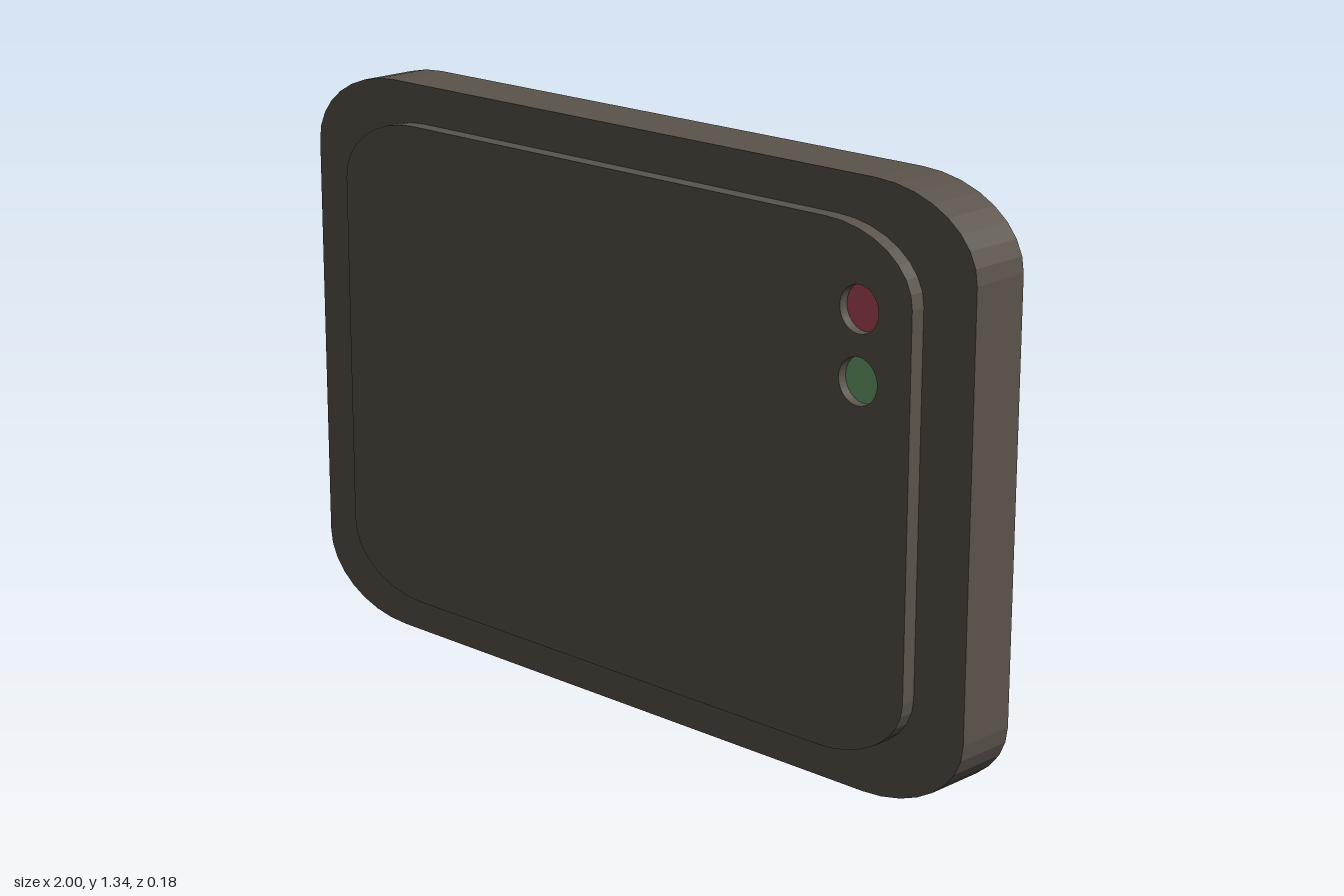
import * as THREE from 'three';

const CASE = new THREE.MeshStandardMaterial({ color: 0x5a534b, flatShading: true });
const RED = new THREE.MeshStandardMaterial({ color: 0xb04858 });
const GREEN = new THREE.MeshStandardMaterial({ color: 0x689f6a });
const CENTRE_Y = 0.67;
const BUTTON_R = 0.052;

// Rectangle with elliptical corners, centred on the origin.
function plateShape(w, h, rx, ry, steps = 8) {
  const points = [];
  const corners = [[1, 1], [-1, 1], [-1, -1], [1, -1]];
  corners.forEach(([sx, sy], c) => {
    for (let i = 0; i <= steps; i++) {
      const a = (c + i / steps) * Math.PI / 2;
      points.push(new THREE.Vector2(
        sx * (w / 2 - rx) + rx * Math.cos(a),
        sy * (h / 2 - ry) + ry * Math.sin(a)));
    }
  });
  return new THREE.Shape(points);
}

function addPlate(group, name, shape, back, front) {
  const geometry = new THREE.ExtrudeGeometry(shape, { depth: front - back, bevelEnabled: false, curveSegments: 24 });
  const mesh = new THREE.Mesh(geometry, CASE);
  mesh.name = name;
  mesh.position.set(0, CENTRE_Y, back);
  group.add(mesh);
}

export function createModel() {
  const group = new THREE.Group();
  group.name = 'controlPanel';

  const buttons = [
    { name: 'redButton', x: 0.725, y: 1.07, material: RED },
    { name: 'greenButton', x: 0.725, y: 0.917, material: GREEN },
  ];

  // Main slab
  addPlate(group, 'backPlate', plateShape(2, 1.34, 0.27, 0.18), -0.092, 0.056);

  // Raised front panel with round wells for the buttons
  const panel = plateShape(1.73, 1.16, 0.234, 0.156);
  for (const b of buttons) {
    const hole = new THREE.Path();
    hole.absarc(b.x, b.y - CENTRE_Y, BUTTON_R, 0, Math.PI * 2, true);
    panel.holes.push(hole);
  }
  addPlate(group, 'frontPanel', panel, 0.056, 0.092);

  // Buttons sunk into the wells
  for (const b of buttons) {
    const geometry = new THREE.CylinderGeometry(BUTTON_R, BUTTON_R, 0.014, 24).rotateX(Math.PI / 2);
    const mesh = new THREE.Mesh(geometry, b.material);
    mesh.name = b.name;
    mesh.position.set(b.x, b.y, 0.063);
    group.add(mesh);
  }
  return group;
}
